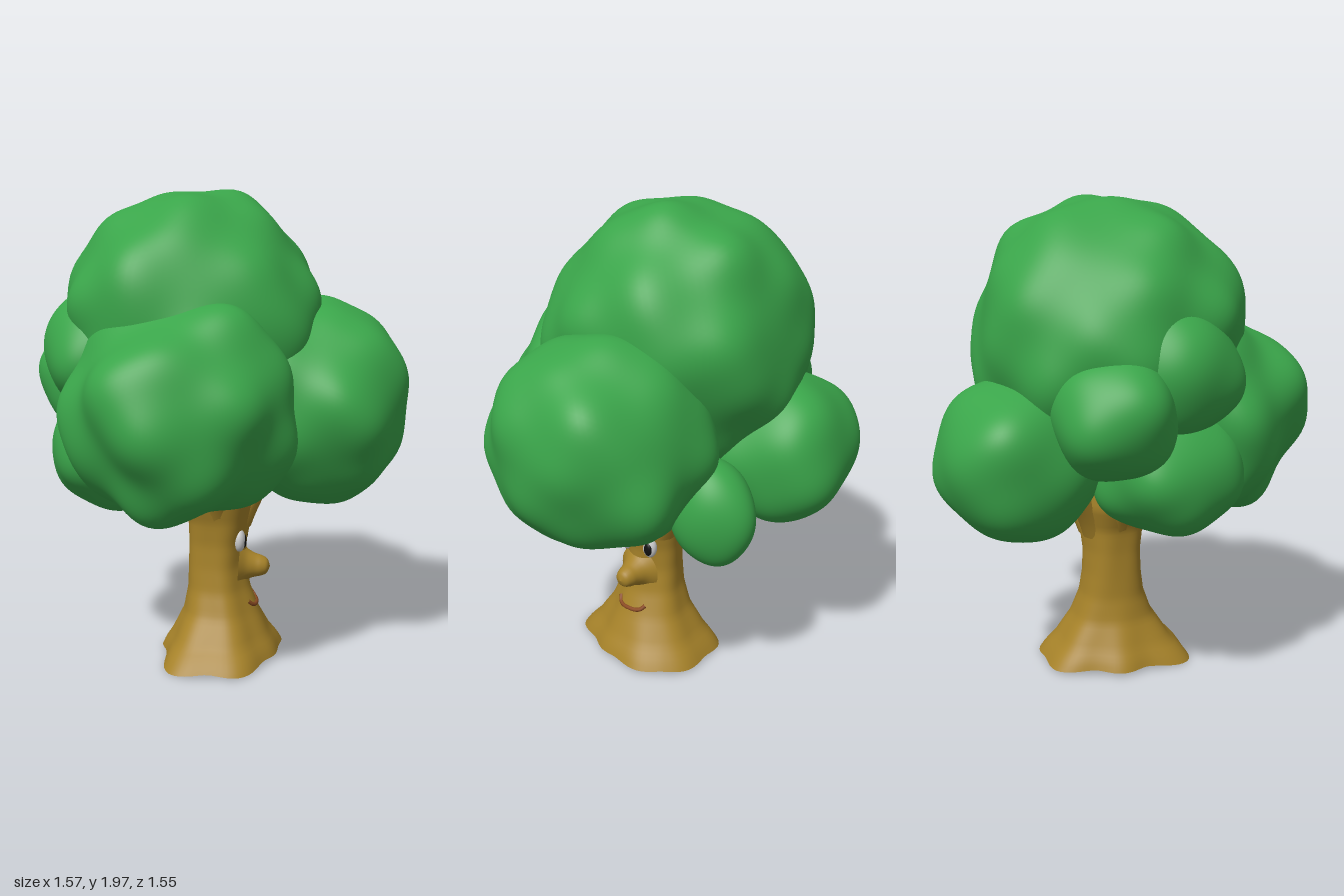
import * as THREE from 'three';
import { mergeVertices } from 'three/addons/utils/BufferGeometryUtils.js';

const V = (x, y, z) => new THREE.Vector3(x, y, z);
const paint = (color, roughness = 0.8) => new THREE.MeshStandardMaterial({ color, roughness });
const green = paint(0x3aa54a), bark = paint(0xa68229), white = paint(0xdcdcdc);
const black = paint(0x111111), lip = paint(0x8a4a22);

function add(group, name, geometry, material) {
  const mesh = new THREE.Mesh(geometry, material);
  mesh.name = name;
  group.add(mesh);
  return mesh;
}

function seeded(seed) {
  let s = seed * 7919 + 17;
  return () => (s = (s * 16807) % 2147483647) / 2147483647;
}

// Closed skin over rings of points, ordered from bottom to top
function skin(rings) {
  const n = rings[0].length, pos = [], idx = [];
  rings.forEach(ring => ring.forEach(p => pos.push(p.x, p.y, p.z)));
  for (let i = 0; i < rings.length - 1; i++) {
    for (let j = 0; j < n; j++) {
      const a = i * n + j, b = i * n + (j + 1) % n;
      idx.push(a, a + n, b, b, a + n, b + n);
    }
  }
  [rings[0], rings[rings.length - 1]].forEach((ring, end) => {
    const c = ring.reduce((sum, p) => sum.add(p), V(0, 0, 0)).divideScalar(n);
    const base = pos.length / 3;
    [...ring, c].forEach(p => pos.push(p.x, p.y, p.z));
    for (let j = 0; j < n; j++) {
      const a = base + j, b = base + (j + 1) % n;
      idx.push(base + n, end ? b : a, end ? a : b);
    }
  });
  const g = new THREE.BufferGeometry();
  g.setAttribute('position', new THREE.Float32BufferAttribute(pos, 3));
  g.setIndex(idx);
  g.computeVertexNormals();
  return g;
}

// Lumpy leaf ball: an ellipsoid pushed out by scattered soft bumps
function leafBall(center, radii, bumps, height, seed) {
  const rand = seeded(seed);
  const dirs = Array.from({ length: bumps }, (_, i) => {
    const y = 1 - 2 * (i + 0.5) / bumps, r = Math.sqrt(1 - y * y);
    const a = i * 2.39996 + seed + rand() * 0.7;
    return { d: V(r * Math.cos(a), y, r * Math.sin(a)), h: height * (0.45 + 0.75 * rand()) };
  });
  let g = new THREE.IcosahedronGeometry(1, 22);
  g.deleteAttribute('uv');
  g.deleteAttribute('normal');
  g = mergeVertices(g, 1e-4);
  const p = g.attributes.position, v = V(0, 0, 0), sharp = bumps * 0.62;
  for (let i = 0; i < p.count; i++) {
    v.fromBufferAttribute(p, i).normalize();
    let r = 1 - height * 0.4;
    for (const { d, h } of dirs) r += h * Math.exp(sharp * (v.dot(d) - 1));
    v.multiplyScalar(r).multiply(radii).add(center);
    p.setXYZ(i, v.x, v.y, v.z);
  }
  g.computeVertexNormals();
  return g;
}

// Trunk profile: height, core radius, root length, centre x
const profile = [
  [0.02, 0.19, 0.13, 0], [0.05, 0.187, 0.11, 0], [0.1, 0.175, 0.07, 0],
  [0.2, 0.147, 0.03, 0], [0.3, 0.127, 0.013, -0.01], [0.4, 0.12, 0.006, -0.018],
  [0.5, 0.123, 0, -0.016], [0.6, 0.135, 0, -0.008], [0.7, 0.165, 0, -0.015], [0.8, 0.16, 0, -0.02],
];
const roots = [[72, 1], [122, 1.2], [185, 0.5], [245, 0.85], [290, 0.85], [333, 0.7], [22, 0.4]];

function trunkPoint(y, a) {
  let k = 0;
  while (k < profile.length - 2 && y > profile[k + 1][0]) k++;
  const [lo, hi] = [profile[k], profile[k + 1]];
  const t = (y - lo[0]) / (hi[0] - lo[0]);
  const [, core, len, cx] = lo.map((q, i) => q + (hi[i] - q) * t);
  let r = core, drop = 0;
  for (const [deg, s] of roots) {
    const lobe = s * Math.exp(9 * (Math.cos(a - deg * Math.PI / 180) - 1));
    r += len * lobe;
    drop = Math.max(drop, lobe);
  }
  r += 0.004 * Math.sin(5 * a + y * 4);
  const foot = Math.max(0, 1 - y / 0.12) * 0.022 * (drop - 0.35);
  return V(cx + r * Math.cos(a), Math.max(0, y - foot), 0.012 + r * Math.sin(a));
}

const ringOf = (n, fn) => Array.from({ length: n }, (_, j) => fn(j / n * Math.PI * 2));

export function createModel() {
  const tree = new THREE.Group();
  tree.name = 'tree';

  // Trunk with flared roots
  const levels = Array.from({ length: 40 }, (_, i) => 0.02 + 0.76 * i / 39);
  add(tree, 'trunk', skin(levels.map(y => ringOf(84, a => trunkPoint(y, a)))), bark);

  // Branches reaching up into the leaf balls
  const tips = [V(-0.33, 0.92, 0.04), V(0.3, 0.95, 0.02), V(-0.02, 0.95, 0.32),
    V(-0.2, 0.95, -0.32), V(0.13, 0.88, -0.34), V(-0.06, 1.15, 0)];
  tips.forEach(tip => {
    const out = V(tip.x, 0, tip.z).normalize();
    const path = new THREE.QuadraticBezierCurve3(
      V(out.x * 0.06, 0.56, out.z * 0.06), V(out.x * 0.13, 0.72, out.z * 0.13), tip);
    add(tree, 'branch', skin(Array.from({ length: 10 }, (_, i) => {
      const c = path.getPoint(i / 9), r = 0.068 - 0.035 * i / 9;
      return ringOf(14, a => V(c.x + r * Math.cos(a), c.y, c.z + r * Math.sin(a)));
    })), bark);
  });

  // Leaf balls: centre, radii, bump count, bump height
  const balls = [
    ['crown', V(-0.12, 1.42, -0.04), V(0.53, 0.53, 0.52), 46, 0.11],
    ['frontLeaves', V(-0.13, 1.11, 0.37), V(0.4, 0.39, 0.36), 22, 0.22],
    ['leftLeaves', V(0.38, 1.1, -0.04), V(0.4, 0.42, 0.43), 34, 0.12],
    ['backLeaves', V(-0.29, 0.98, -0.44), V(0.31, 0.31, 0.31), 16, 0.16],
    ['smallBackLeaves', V(0.16, 0.84, -0.42), V(0.14, 0.21, 0.18), 8, 0.12],
    ['rightLeaves', V(-0.57, 1.18, -0.14), V(0.21, 0.22, 0.22), 10, 0.16],
    ['lowerRightLeaves', V(-0.4, 0.94, 0.12), V(0.3, 0.26, 0.27), 16, 0.16],
    ['upperRightLeaves', V(-0.46, 1.32, 0.1), V(0.24, 0.26, 0.27), 12, 0.14],
  ];
  balls.forEach(([name, c, r, n, h], i) => add(tree, name, leafBall(c, r, n, h, i + 3), green));

  // Face on the +x side
  const face = new THREE.Group();
  face.name = 'face';
  tree.add(face);
  const ball = new THREE.SphereGeometry(1, 28, 20);
  [[0.078, -0.004], [-0.045, -0.007]].forEach(([z, shift]) => {
    const eye = add(face, 'eye', ball, white);
    eye.position.set(0.083, 0.517, z);
    eye.scale.set(0.026, 0.05, 0.036);
    const pupil = add(face, 'pupil', ball, black);
    pupil.position.set(0.103, 0.513, z + shift);
    pupil.scale.set(0.011, 0.029, 0.02);
  });

  const noseLine = new THREE.SplineCurve([[0.1, 0], [0.07, 0.03], [0.052, 0.065],
    [0.044, 0.095], [0.03, 0.12], [0, 0.132]].map(([r, h]) => new THREE.Vector2(r, h)));
  const noseProfile = noseLine.getPoints(20).map(p => new THREE.Vector2(Math.max(0, p.x), p.y));
  const nose = add(face, 'nose', new THREE.LatheGeometry(noseProfile, 28), bark);
  nose.rotation.z = -Math.PI / 2 - 0.06;
  nose.position.set(0.08, 0.392, 0.012);

  const smile = Array.from({ length: 9 }, (_, i) => {
    const t = i / 4 - 1;
    return trunkPoint(0.225 + 0.025 * t ** 4, 0.02 + t * 0.5);
  });
  add(face, 'mouth', new THREE.TubeGeometry(new THREE.CatmullRomCurve3(smile), 32, 0.009, 8), lip);

  return tree;
}
